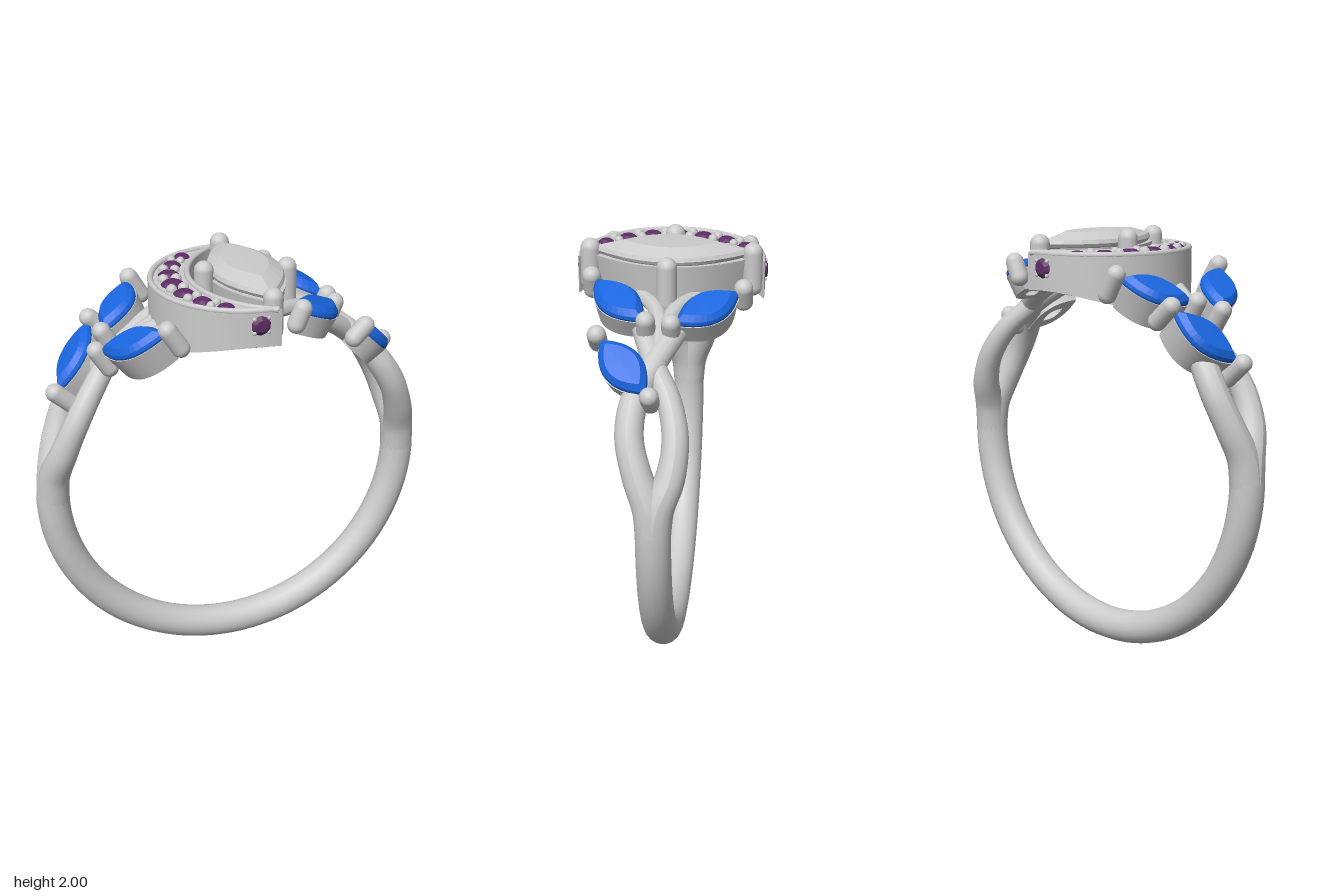
import * as THREE from 'three';
import { toCreasedNormals } from 'three/addons/utils/BufferGeometryUtils.js';

const CY = 0.945; // centre height of the finger hole
const metal = new THREE.MeshStandardMaterial({ color: 0xcccccc });
const clear = new THREE.MeshStandardMaterial({ color: 0xcccccc, flatShading: true });
const blue = new THREE.MeshStandardMaterial({ color: 0x1a66e0, flatShading: true });
const purple = new THREE.MeshStandardMaterial({ color: 0x5e2c66, flatShading: true });

function add(parent, name, geo, mat, x = 0, y = 0, z = 0) {
  const m = new THREE.Mesh(geo, mat);
  m.name = name;
  m.position.set(x, y, z);
  parent.add(m);
  return m;
}

// Point on the finger circle: angle from the top (degrees), depth z, radius
function onRing(deg, z, r) {
  const t = THREE.MathUtils.degToRad(deg);
  return new THREE.Vector3(r * Math.sin(t), CY + r * Math.cos(t), z);
}

// Pointed-oval outline lofted through [scale, y] levels
function marquise(a, b, levels, n = 24) {
  const pos = [], idx = [], h = n / 2;
  for (const [s, y] of levels) {
    for (let i = 0; i < n; i++) {
      const u = i < h ? 1 - (2 * i) / h : -1 + (2 * (i - h)) / h;
      pos.push(a * s * u, y, (i < h ? 1 : -1) * b * s * (1 - u * u));
    }
  }
  for (let k = 0; k < levels.length - 1; k++) {
    for (let i = 0; i < n; i++) {
      const p = k * n + i, q = k * n + ((i + 1) % n);
      if (levels[k + 1][0] > 0) idx.push(p, p + n, q + n);
      if (levels[k][0] > 0) idx.push(p, q + n, q);
    }
  }
  const g = new THREE.BufferGeometry();
  g.setAttribute('position', new THREE.Float32BufferAttribute(pos, 3));
  g.setIndex(idx);
  return toCreasedNormals(g, 0.6);
}

// Tube whose radius follows a list of values along its path
function taperedTube(points, radii, segs = 48, sides = 16) {
  const curve = new THREE.CatmullRomCurve3(points);
  const g = new THREE.TubeGeometry(curve, segs, 1, sides);
  const p = g.attributes.position, v = new THREE.Vector3();
  for (let i = 0; i <= segs; i++) {
    const c = curve.getPointAt(i / segs);
    const f = (i / segs) * (radii.length - 1), k = Math.min(Math.floor(f), radii.length - 2);
    const r = THREE.MathUtils.lerp(radii[k], radii[k + 1], f - k);
    for (let j = 0; j <= sides; j++) {
      const n = i * (sides + 1) + j;
      v.fromBufferAttribute(p, n).sub(c).multiplyScalar(r).add(c);
      p.setXYZ(n, v.x, v.y, v.z);
    }
  }
  g.computeVertexNormals();
  return g;
}

function prong(parent, x, z, bottom, top, r = 0.045) {
  add(parent, 'prong', new THREE.CapsuleGeometry(r, top - bottom - 2 * r, 6, 14), metal, x, (top + bottom) / 2, z);
}

// Blue leaf stone in its cup, given its two tips in plan and its distance from the ring centre
function leaf(x1, z1, x2, z2, R) {
  const g = new THREE.Group();
  g.name = 'leafStone';
  const p1 = new THREE.Vector3(x1, CY + Math.sqrt(R * R - x1 * x1), z1);
  const p2 = new THREE.Vector3(x2, CY + Math.sqrt(R * R - x2 * x2), z2);
  const mid = p1.clone().add(p2).multiplyScalar(0.5);
  const ax = p2.clone().sub(p1).normalize();
  const up = new THREE.Vector3(mid.x, mid.y - CY, 0).normalize();
  g.quaternion.setFromRotationMatrix(new THREE.Matrix4().makeBasis(ax, up, ax.clone().cross(up)));
  g.position.copy(mid);
  const a = p1.distanceTo(p2) / 2 + 0.005, b = 0.09, d = 0.81 - R;
  add(g, 'stone', marquise(a, b, [[0, -0.07], [0.95, -0.02], [1, 0], [0.96, 0.015], [0.74, 0.038], [0, 0.04]]), blue);
  add(g, 'cup', marquise(a, b, [[0.86, d], [1.02, -0.01], [0.8, -0.01], [0.35, d], [0.86, d]]), metal);
  for (const s of [-1, 1]) prong(g, s * (a + 0.022), 0, d + 0.01, 0.06, 0.042);
  return g;
}

// Split shoulder on the +x side: two strands that part, cross and fork towards the head
function shoulder() {
  const g = new THREE.Group();
  g.name = 'shoulder';
  const path = (rows) => rows.map(([t, z, r]) => onRing(t, z, r));
  add(g, 'frontStrand', taperedTube(path([[92, 0, 0.867], [83, 0.02, 0.865], [74, 0.07, 0.86], [63, 0.11, 0.86],
    [52, 0.095, 0.86], [42, 0.03, 0.86], [31, -0.05, 0.855], [21, -0.12, 0.85]]), [0.077, 0.07, 0.064, 0.062, 0.055, 0.05, 0.04]), metal);
  add(g, 'backStrand', taperedTube(path([[92, 0, 0.867], [83, -0.02, 0.865], [74, -0.07, 0.855], [63, -0.085, 0.85],
    [52, -0.05, 0.85], [42, 0.02, 0.85], [31, 0.08, 0.85], [21, 0.14, 0.85]]), [0.077, 0.07, 0.06, 0.055, 0.05, 0.048, 0.04]), metal);
  for (const s of [-1, 1]) {
    add(g, 'fork', taperedTube(path([[38, 0, 0.86], [28, s * 0.015, 0.86], [20, s * 0.05, 0.855], [12, s * 0.13, 0.84]]),
      [0.045, 0.04, 0.03], 20, 10), metal);
  }
  return g;
}

// Crescent wall with a curved underside, gem holes, rims, gems and beads
function crescent() {
  const g = new THREE.Group();
  g.name = 'crescent';
  const arc = (cx, r, from, n = 32) => Array.from({ length: n + 1 }, (_, i) => {
    const t = from + (2 * (Math.PI - from) * i) / n;
    return new THREE.Vector2(cx + r * Math.cos(t), r * Math.sin(t));
  });
  const outer = arc(0.05, 0.42, 1.47), inner = arc(0.291, 0.461, 2.02);
  const shape = new THREE.Shape([...outer, ...inner.slice().reverse()]);
  const seats = [];
  for (let k = -3; k <= 3; k += 0.5) {
    const t = Math.PI + k * 0.274;
    seats.push({ k, t, x: 0.17 + 0.44 * Math.cos(t), y: 0.44 * Math.sin(t), r: 0.055 - 0.0055 * Math.abs(k) });
  }
  const gems = seats.filter((s) => Number.isInteger(s.k));
  for (const s of gems) shape.holes.push(new THREE.Path().absarc(s.x, s.y, s.r * 0.6, 0, Math.PI * 2, true));
  const body = new THREE.ExtrudeGeometry(shape, { depth: 1, bevelEnabled: false, curveSegments: 8 });
  body.rotateX(-Math.PI / 2);
  const p = body.attributes.position;
  for (let i = 0; i < p.count; i++) {
    const x = p.getX(i);
    p.setY(i, p.getY(i) > 0.5 ? 1.905 : CY + Math.sqrt(0.795 ** 2 - x * x));
  }
  add(g, 'crescentWall', toCreasedNormals(body, 0.5), metal);
  for (const line of [arc(0.05, 0.408, 1.5), arc(0.291, 0.473, 2.05)]) {
    const c = new THREE.CatmullRomCurve3(line.map((v) => new THREE.Vector3(v.x, 1.905, -v.y)));
    add(g, 'rim', new THREE.TubeGeometry(c, 48, 0.014, 8), metal);
  }
  const gem = (r) => new THREE.LatheGeometry([[0, -0.7], [0.95, -0.05], [1, 0.05], [0.6, 0.35], [0, 0.36]]
    .map(([x, y]) => new THREE.Vector2(x * r, y * r)), 10);
  for (const s of seats) {
    if (Number.isInteger(s.k)) add(g, 'smallGem', gem(s.r), purple, s.x, 1.905, -s.y);
    else for (const e of [-1, 1]) {
      const d = e * s.r * 0.55;
      add(g, 'bead', new THREE.SphereGeometry(s.r * 0.5, 10, 8), metal,
        s.x + d * Math.cos(s.t), 1.908, -(s.y + d * Math.sin(s.t)));
    }
  }
  // Gems on the two tips, facing front and back
  for (const s of [-1, 1]) {
    const m = add(g, 'tipGem', gem(0.047), purple, 0, 1.84, s * 0.413);
    m.rotation.x = s * Math.PI / 2;
    for (let i = 0; i < 4; i++) {
      const t = Math.PI / 4 + i * Math.PI / 2;
      add(g, 'tipBead', new THREE.SphereGeometry(0.01, 8, 6), metal, 0.046 * Math.cos(t), 1.84 + 0.046 * Math.sin(t), s * 0.417);
    }
  }
  return g;
}

// Large clear stone in an open basket with four prongs
function centre() {
  const g = new THREE.Group();
  g.name = 'centreStone';
  const stone = marquise(0.35, 0.165, [[0, 1.8], [0.96, 1.92], [1, 1.935], [0.96, 1.953], [0.6, 1.984], [0, 1.987]], 20);
  const basket = marquise(0.365, 0.17, [[0.86, 1.75], [1, 1.915], [0.84, 1.915], [0.6, 1.75], [0.86, 1.75]], 32);
  add(g, 'stone', stone.rotateY(Math.PI / 2), clear, 0.07);
  add(g, 'basket', basket.rotateY(Math.PI / 2), metal, 0.07);
  for (const s of [-1, 1]) prong(g, 0.07, s * 0.365, 1.74, 1.985);
  prong(g, -0.125, 0, 1.74, 2);
  prong(g, 0.27, 0, 1.72, 1.97);
  return g;
}

export function createModel() {
  const model = new THREE.Group();
  model.name = 'ring';

  // Lower half of the band
  const band = add(model, 'band', new THREE.TorusGeometry(0.867, 0.078, 20, 80, Math.PI), metal, 0, CY, 0);
  band.rotation.z = Math.PI;

  // Shoulders, the second turned half way round
  const left = shoulder(), right = shoulder();
  right.rotation.y = Math.PI;
  model.add(left, right);

  // Leaf stones: tip, tip, height
  for (const row of [
    [0.23, 0.32, 0.455, 0.09, 0.92], [0.285, -0.315, 0.465, -0.06, 0.92], [0.55, 0.255, 0.72, 0.045, 0.92],
    [-0.57, -0.06, -0.39, -0.31, 0.95], [-0.62, 0.085, -0.4, 0.305, 0.95], [-0.8, -0.015, -0.61, -0.205, 0.955],
  ]) model.add(leaf(...row));

  model.add(crescent(), centre());
  return model;
}
